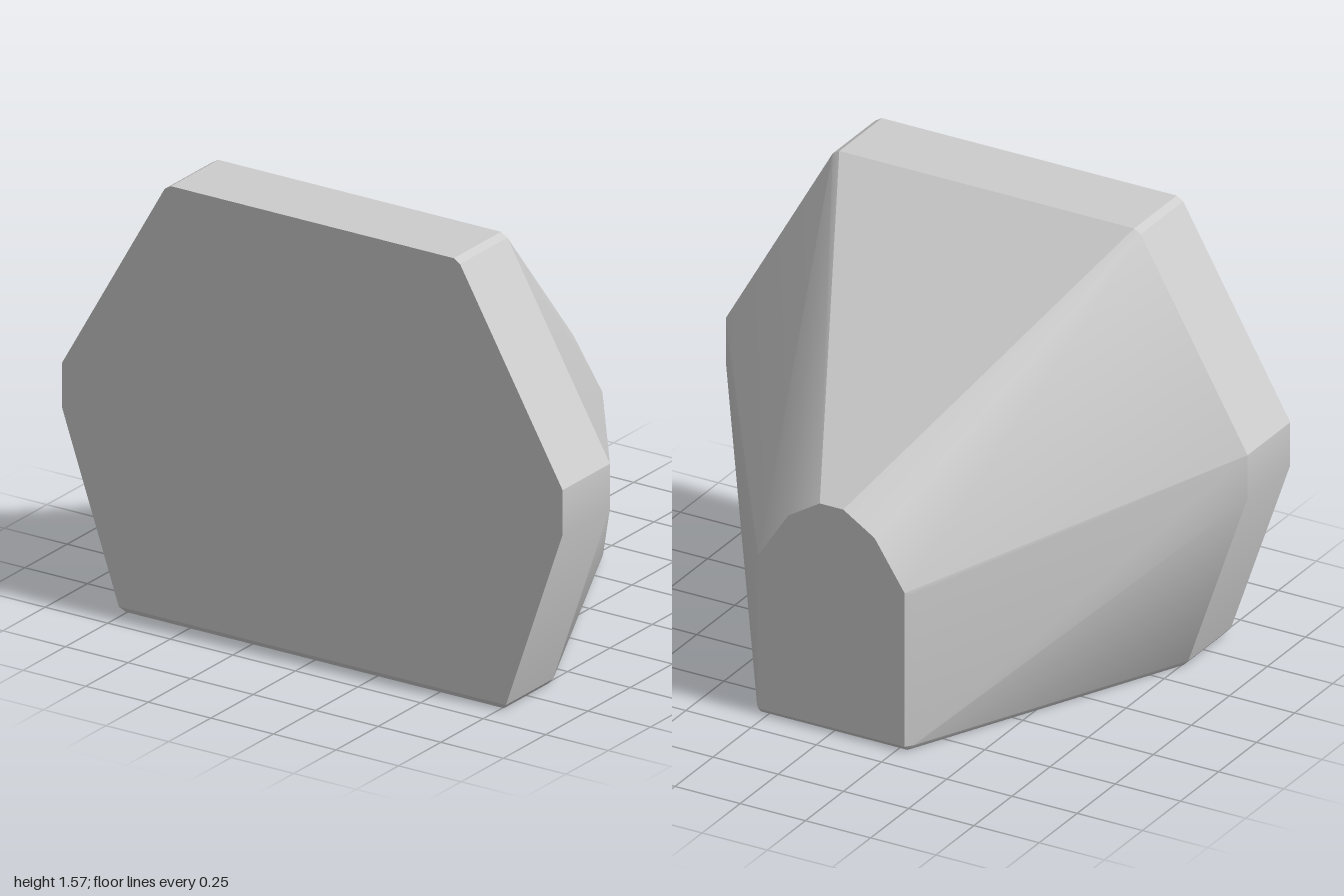
import * as THREE from 'three';
import { ConvexGeometry } from 'three/addons/geometries/ConvexGeometry.js';
import { toCreasedNormals } from 'three/addons/utils/BufferGeometryUtils.js';

// Right half of a cross-section at depth z, mirrored to both sides.
function section(half, z) {
  return half.flatMap(([x, y]) => [new THREE.Vector3(x, y, z), new THREE.Vector3(-x, y, z)]);
}

export function createModel() {
  const group = new THREE.Group();
  group.name = 'taperedBlock';
  const grey = new THREE.MeshStandardMaterial({ color: 0xcccccc });
  grey.name = 'light grey';

  // Wide eight-sided front slab with softened top and bottom corners
  const slab = [[0.565, 1.57], [0.59, 1.555], [1, 0.84], [1, 0.68], [0.773, 0.02]];
  const slabFoot = [[0.755, 0]];
  // Small arched rear end
  const arch = [[0.045, 0.84], [0.165, 0.765], [0.28, 0.59], [0.28, 0.02]];
  const archSide = [[0.3, 0.58], [0.3, 0.02]];
  const archFoot = [[0.28, 0]];

  const points = [
    ...section(slab, 0.65),
    ...section(slabFoot, 0.635),
    ...section(slab, 0.37),
    ...section(slabFoot, 0.37),
    ...section(archSide, -0.625),
    ...section(archFoot, -0.63),
    ...section(arch, -0.65),
  ];
  const body = new THREE.Mesh(toCreasedNormals(new ConvexGeometry(points), 0.4), grey);
  body.name = 'body';
  group.add(body);
  return group;
}
